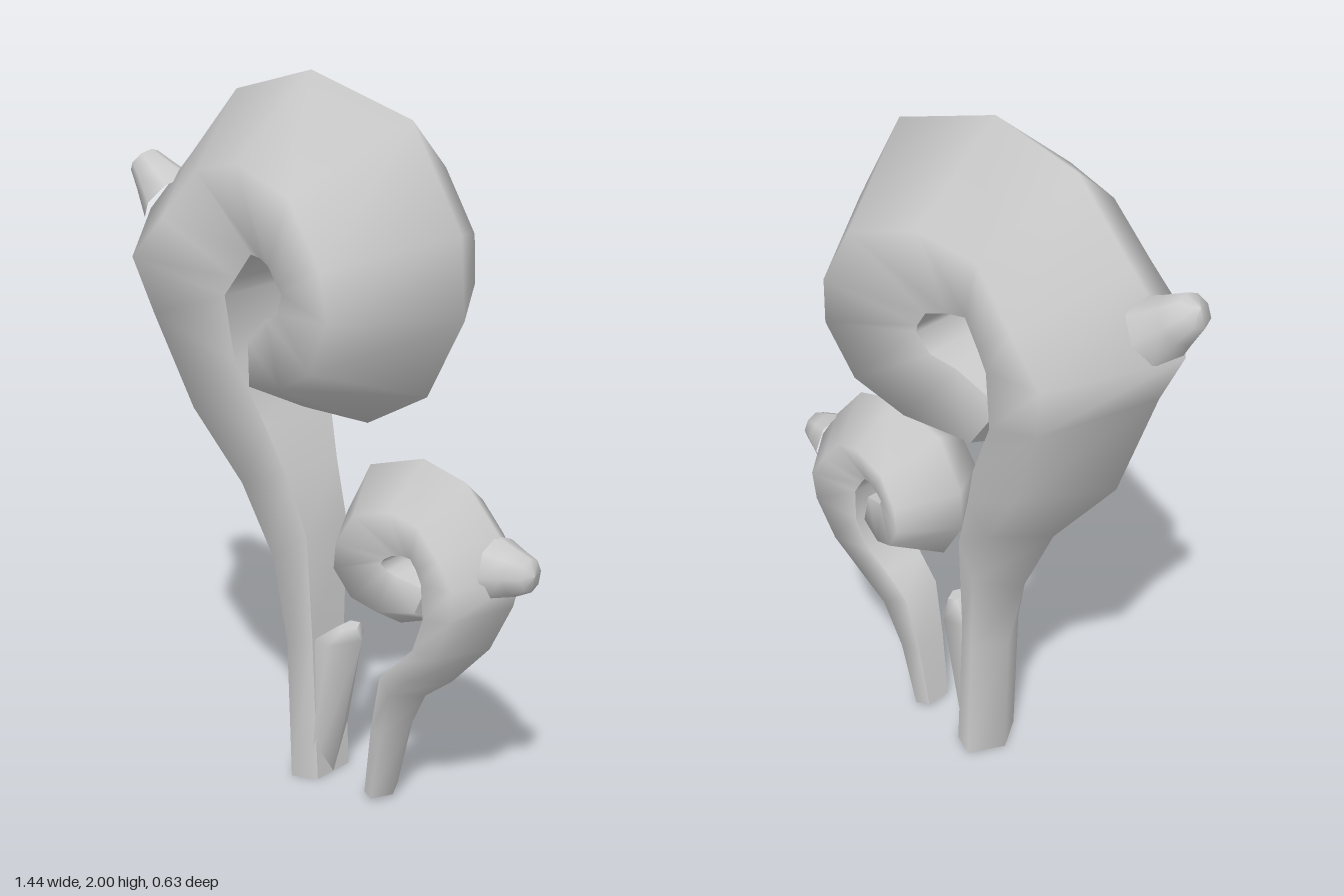
import * as THREE from 'three';

const material = new THREE.MeshStandardMaterial({ color: 0xcccccc });

// Five-sided loft: ridge on the outer side, flat face on the inner side.
// Each section is [outerX, outerY, innerX, innerY, halfDepth].
// dir = 1 if the ridge lies to the left of the growing direction, -1 if to the right.
function loft(name, sections, dir) {
  const pos = [], index = [];
  const rings = sections.map(([ox, oy, ix, iy, w]) => {
    const at = (t, z) => [ox + (ix - ox) * t, oy + (iy - oy) * t, z * w * dir];
    return [at(1, -0.68), at(0.45, -1), at(0, 0), at(0.45, 1), at(1, 0.68)];
  });
  const strip = (columns) => {
    const base = pos.length / 3, n = columns.length;
    rings.forEach(r => columns.forEach(c => pos.push(...r[c])));
    for (let i = 0; i < rings.length - 1; i++) {
      for (let j = 0; j < n - 1; j++) {
        const a = base + i * n + j, d = a + n;
        index.push(a, a + 1, d + 1, a, d + 1, d);
      }
    }
  };
  const cap = (ring) => {
    const base = pos.length / 3;
    ring.forEach(p => pos.push(...p));
    for (let j = 1; j < 4; j++) index.push(base, base + j, base + j + 1);
  };
  strip([0, 1, 2, 3, 4]);   // smooth outer skin
  strip([4, 0]);            // inner face with sharp edges
  cap([...rings[0]].reverse());
  cap(rings[rings.length - 1]);

  const geo = new THREE.BufferGeometry();
  geo.setAttribute('position', new THREE.Float32BufferAttribute(pos, 3));
  geo.setIndex(index);
  geo.computeVertexNormals();
  const mesh = new THREE.Mesh(geo, material);
  mesh.name = name;
  return mesh;
}

// Rounded bud growing from one point to another
function bud(name, from, to, radius) {
  const a = new THREE.Vector3(...from), b = new THREE.Vector3(...to);
  const axis = b.clone().sub(a), len = axis.length();
  const profile = [[1, 0], [0.7, 0.5], [0.5, 0.88], [0, 1]]
    .map(([r, h]) => new THREE.Vector2(r * radius, h * len));
  const mesh = new THREE.Mesh(new THREE.LatheGeometry(profile, 8), material);
  mesh.position.copy(a);
  mesh.quaternion.setFromUnitVectors(new THREE.Vector3(0, 1, 0), axis.normalize());
  mesh.name = name;
  return mesh;
}

export function createModel() {
  const model = new THREE.Group();
  model.name = 'curledSprouts';

  // Large sprout: stem rising into a curled head
  const large = new THREE.Group();
  large.name = 'largeSprout';
  large.add(loft('largeCurl', [
    [-0.10, 0, 0.03, 0, 0.10],
    [-0.11, 0.40, 0.01, 0.43, 0.10],
    [-0.16, 0.62, 0.005, 0.74, 0.125],
    [-0.27, 0.85, -0.05, 0.91, 0.155],
    [-0.48, 1.10, -0.10, 1.05, 0.20],
    [-0.60, 1.42, -0.185, 1.23, 0.24],
    [-0.67, 1.56, -0.195, 1.41, 0.275],
    [-0.50, 1.735, -0.16, 1.46, 0.265],
    [-0.32, 1.93, -0.11, 1.53, 0.255],
    [-0.05, 2.00, -0.06, 1.53, 0.28],
    [0.29, 1.90, -0.01, 1.52, 0.315],
    [0.45, 1.63, 0.02, 1.475, 0.315],
    [0.465, 1.41, 0.03, 1.45, 0.305],
    [0.35, 1.19, 0.00, 1.39, 0.28],
    [0.15, 1.08, -0.07, 1.36, 0.24],
    [-0.08, 1.08, -0.18, 1.27, 0.17],
  ], 1));
  large.add(bud('largeBud', [-0.58, 1.60, 0], [-0.705, 1.71, 0], 0.095));

  // Short side shoot at the foot of the stem
  large.add(loft('sideShoot', [
    [0.03, 0, -0.04, 0, 0.07],
    [0.135, 0.44, 0.00, 0.42, 0.08],
    [0.115, 0.47, 0.07, 0.475, 0.04],
  ], -1));

  // Small sprout, curling the other way
  const small = new THREE.Group();
  small.name = 'smallSprout';
  small.position.z = 0.01;
  small.add(loft('smallCurl', [
    [0.26, 0.01, 0.19, 0.01, 0.06],
    [0.31, 0.22, 0.22, 0.22, 0.075],
    [0.37, 0.35, 0.26, 0.39, 0.095],
    [0.46, 0.42, 0.33, 0.46, 0.105],
    [0.58, 0.55, 0.39, 0.52, 0.125],
    [0.65, 0.69, 0.43, 0.62, 0.14],
    [0.67, 0.77, 0.425, 0.72, 0.145],
    [0.60, 0.87, 0.405, 0.755, 0.14],
    [0.49, 0.99, 0.385, 0.78, 0.14],
    [0.35, 1.025, 0.36, 0.785, 0.15],
    [0.17, 0.97, 0.335, 0.78, 0.16],
    [0.09, 0.82, 0.31, 0.765, 0.165],
    [0.085, 0.70, 0.30, 0.75, 0.165],
    [0.16, 0.58, 0.315, 0.73, 0.15],
    [0.28, 0.54, 0.33, 0.715, 0.13],
    [0.39, 0.58, 0.41, 0.69, 0.09],
  ], -1));
  small.add(bud('smallBud', [0.60, 0.78, 0], [0.715, 0.79, 0], 0.09));

  model.add(large, small);
  return model;
}
